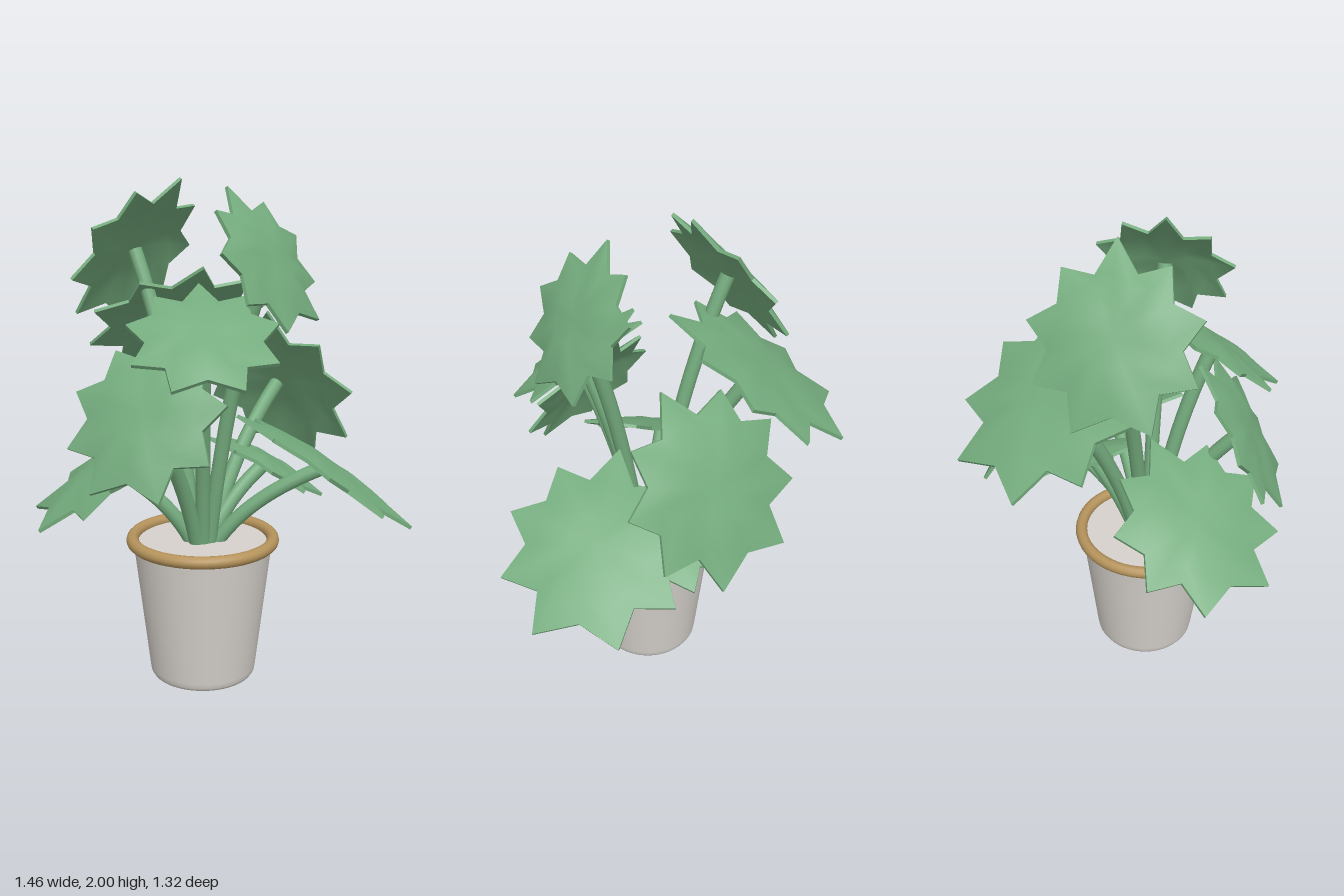
import * as THREE from 'three';
import { toCreasedNormals } from 'three/addons/utils/BufferGeometryUtils.js';

const V = (x, y, z) => new THREE.Vector3(x, y, z);
const POT_X = -0.065, POT_Z = 0.125;

// One half of the leaf outline, tip notch to stalk lobe: [degrees, radius]
const HALF = [[0, 0.75], [24, 1], [42, 0.69], [62, 0.95], [82, 0.69], [102, 0.92],
  [121, 0.68], [142, 0.9], [161, 0.67], [180, 1]];
const OUTLINE = [...HALF, ...HALF.slice(1, -1).reverse().map(([a, r]) => [360 - a, r])];

// Leaves: centre, facing direction, radius, spin about the facing direction in degrees
const LEAVES = [
  { name: 'backLeaf', c: [-0.04, 1.445, -0.345], n: [-0.02, 0.81, -0.57], r: 0.42, spin: 0 },
  { name: 'topBackLeaf', c: [-0.26, 1.73, -0.22], n: [-0.46, 0.55, -0.69], r: 0.35, spin: 8 },
  { name: 'topFrontLeaf', c: [0.13, 1.715, 0.365], n: [0.52, 0.5, 0.69], r: 0.305, spin: 6 },
  { name: 'middleFrontLeaf', c: [-0.145, 1.455, 0.4], n: [-0.13, 0.83, 0.55], r: 0.312, spin: 0 },
  { name: 'frontRightLeaf', c: [-0.375, 1.165, 0.39], n: [-0.58, 0.52, 0.62], r: 0.345, spin: 0 },
  { name: 'lowRightLeaf', c: [-0.445, 0.91, 0.06], n: [-0.56, 0.83, -0.06], r: 0.38, spin: 0 },
  { name: 'backLeftLeaf', c: [0.37, 1.16, -0.15], n: [0.7, 0.5, -0.5], r: 0.4, spin: 12 },
  { name: 'lowLeftLeaf', c: [0.4, 0.9, 0.3], n: [0.55, 0.83, 0.08], r: 0.41, spin: -4 },
  { name: 'smallLeftLeaf', c: [0.26, 0.86, 0.015], n: [0.48, 0.87, 0.04], r: 0.27, spin: 0 },
];

// Toothed blade with a shallow dome: rings on top and underneath, joined at the edge
function leafGeometry(radius) {
  const pos = [], index = [], N = OUTLINE.length, T = 0.014;
  const fractions = [0.35, 0.7, 1];
  for (const side of [0, 1]) {
    const start = pos.length / 3;
    pos.push(0, -side * T, 0);
    for (const f of fractions) {
      for (const [deg, r] of OUTLINE) {
        const a = THREE.MathUtils.degToRad(deg);
        const d = radius * f * (f < 0.5 ? 0.8 : f < 1 ? 0.4 + 0.5 * r : r);
        const y = 0.015 - 0.04 * f * f + 0.008 * f * Math.cos(3 * a);
        pos.push(d * Math.sin(a), y - side * T, d * Math.cos(a));
      }
    }
    const tri = (a, b, c) => side ? index.push(a, c, b) : index.push(a, b, c);
    const at = (k, i) => start + 1 + k * N + (i % N);
    for (let i = 0; i < N; i++) {
      tri(start, at(0, i), at(0, i + 1));
      for (let k = 0; k < 2; k++) {
        tri(at(k, i), at(k + 1, i), at(k + 1, i + 1));
        tri(at(k, i), at(k + 1, i + 1), at(k, i + 1));
      }
    }
  }
  // Edge wall
  const topEdge = 1 + 2 * N, lowEdge = topEdge + 1 + 3 * N;
  for (let i = 0; i < N; i++) {
    const j = (i + 1) % N;
    index.push(topEdge + i, lowEdge + i, lowEdge + j, topEdge + i, lowEdge + j, topEdge + j);
  }
  const geo = new THREE.BufferGeometry();
  geo.setAttribute('position', new THREE.Float32BufferAttribute(pos, 3));
  geo.setIndex(index);
  return toCreasedNormals(geo, 0.7);
}

export function createModel() {
  const group = new THREE.Group();
  const material = (name, color) => {
    const m = new THREE.MeshStandardMaterial({ color });
    m.name = name;
    return m;
  };
  const green = material('leaf green', 0x74ab7d);
  const potGrey = material('pot off-white', 0xd6d1cb);
  const tan = material('rim tan', 0xb5935b);
  const add = (name, geometry, mat, parent = group) => {
    const mesh = new THREE.Mesh(geometry, mat);
    mesh.name = name;
    parent.add(mesh);
    return mesh;
  };

  // Tapered pot with a closed top
  const profile = [[0, 0], [0.19, 0], [0.208, 0.004], [0.215, 0.016], [0.218, 0.035],
    [0.278, 0.54], [0.28, 0.56], [0.275, 0.568], [0.26, 0.568], [0, 0.568]]
    .map(([x, y]) => new THREE.Vector2(x, y));
  const pot = add('pot', new THREE.LatheGeometry(profile, 48), potGrey);
  pot.position.set(POT_X, 0, POT_Z);

  // Rolled rim
  const rim = add('rim', new THREE.TorusGeometry(0.285, 0.025, 12, 48), tan);
  rim.rotation.x = Math.PI / 2;
  rim.position.set(POT_X, 0.575, POT_Z);

  // Leaves, each on its own curved stem
  for (const { name, c, n, r, spin } of LEAVES) {
    const plant = new THREE.Group();
    plant.name = name;
    group.add(plant);
    const centre = V(...c), normal = V(...n).normalize();
    const downhill = V(0, -1, 0).projectOnPlane(normal).normalize();
    const across = normal.clone().cross(downhill);
    const blade = add('blade', leafGeometry(r), green, plant);
    blade.quaternion.setFromRotationMatrix(new THREE.Matrix4().makeBasis(across, normal, downhill));
    blade.rotateY(THREE.MathUtils.degToRad(spin));
    blade.position.copy(centre);

    const out = V(c[0] - POT_X, 0, c[2] - POT_Z);
    const base = V(POT_X, 0.55, POT_Z).addScaledVector(out, 0.1);
    const bend = V(POT_X, 0.55 + (c[1] - 0.55) * 0.58, POT_Z).addScaledVector(out, 0.36);
    const end = centre.clone().addScaledVector(normal, -0.025);
    add('stem', new THREE.TubeGeometry(new THREE.QuadraticBezierCurve3(base, bend, end), 14, 0.03, 10), green, plant);
  }
  return group;
}
